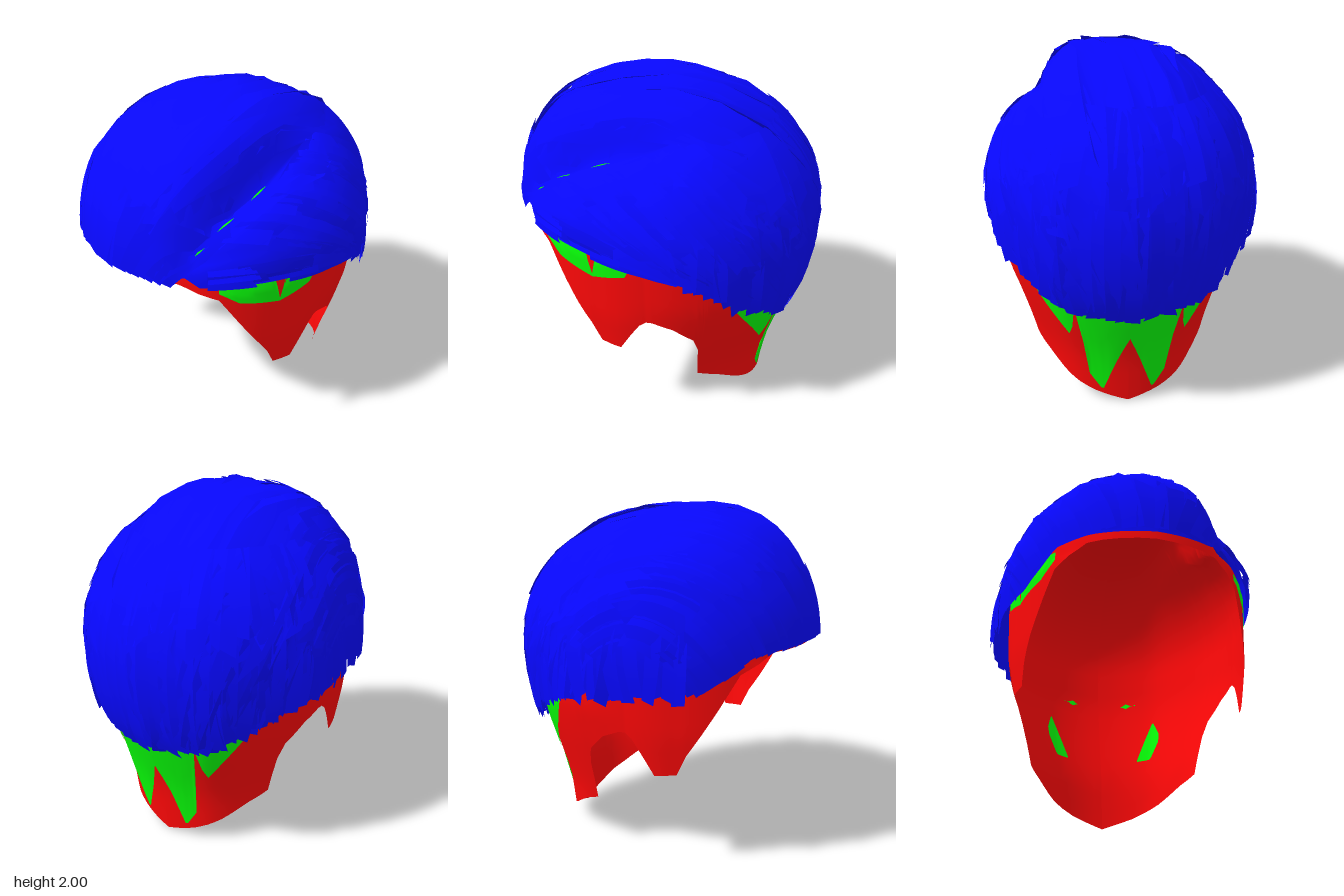
import * as THREE from 'three';
import { mergeGeometries } from 'three/addons/utils/BufferGeometryUtils.js';

const RAD = Math.PI / 180;
const { lerp, clamp, smoothstep } = THREE.MathUtils;

// Piecewise linear lookup in rows [key, value, ...], keys ascending
function lookup(rows, k, col = 1) {
  if (k <= rows[0][0]) return rows[0][col];
  for (let i = 1; i < rows.length; i++) {
    if (k <= rows[i][0]) {
      const f = (k - rows[i - 1][0]) / (rows[i][0] - rows[i - 1][0]);
      return lerp(rows[i - 1][col], rows[i][col], f);
    }
  }
  return rows[rows.length - 1][col];
}

let seed = 7;
const rand = () => (seed = (seed * 16807) % 2147483647) / 2147483647;

// Plan radius by angle from the front (degrees, symmetric)
const PLAN = [[0, 0.885], [22, 0.865], [44, 0.815], [68, 0.775], [90, 0.765], [104, 0.785], [135, 0.82], [152, 0.865], [180, 0.865]];
// Lower edges by angle, positive angles towards +x
const HAIR_EDGE = [[-180, 0.72], [-155, 0.75], [-140, 0.87], [-120, 1.0], [-100, 1.06], [-56, 1.08], [-46, 1.16], [-38, 1.25], [-25, 1.27],
  [22, 1.28], [26, 1.35], [30, 1.35], [35, 1.26], [85, 1.25], [104, 1.17], [115, 1.12], [127, 0.98], [135, 0.92], [145, 0.86], [155, 0.75], [180, 0.72]];
const CAP_EDGE = [[0, 1.25], [27, 1.25], [42, 1.15], [51, 0.95], [63, 0.7], [67, 0.58], [77, 0.57], [83, 0.7], [87, 0.78], [90, 0.81],
  [93, 0.81], [102, 0.76], [112, 0.65], [115, 0.55], [117, 0.3], [129, 0.25], [145, 0.15], [161, 0.07], [180, 0]];
// Inward taper of the cap towards the neck
const NAPE = [[0, 0.73], [0.3, 0.77], [0.4, 0.8], [0.7, 0.91], [0.9, 0.97], [1.2, 1]];
const TEMPLE = [[0.58, 0.95], [0.8, 0.99], [1.2, 1.01]];
// Parting: z, x, depth
const PART = [[-0.5, 0.36, 0], [-0.1, 0.43, 0.08], [0.1, 0.46, 0.17], [0.4, 0.44, 0.23], [0.6, 0.41, 0.19], [0.8, 0.36, 0.1]];

// Sinks the parting and raises the crest of hair beside it
function styleParting(p) {
  const d = p.x - lookup(PART, p.z);
  const fall = Math.exp(-Math.abs(d) / (d < 0 ? 0.045 : 0.16));
  const crest = 0.03 * smoothstep(p.x, 0, 0.25) * (1 - smoothstep(p.x, 0.38, 0.6)) * smoothstep(p.y, 1.5, 1.9);
  p.y += crest - lookup(PART, p.z, 2) * fall * clamp((p.y - 1.25) / 0.25, 0, 1);
  return p;
}

// Hair surface at angle th (degrees) and elevation a (radians)
function hairPoint(th, a) {
  const r0 = lookup(PLAN, Math.abs(th));
  const front = Math.max(0, Math.cos(th * RAD));
  const r = r0 * Math.pow(Math.max(0, Math.cos(a)), a < 0 ? 0.5 : 1 - 0.32 * front);
  return styleParting(new THREE.Vector3(r * Math.sin(th * RAD), 1.2 + 0.775 * Math.sin(a), r * Math.cos(th * RAD)));
}
const hairEdge = th => Math.asin((lookup(HAIR_EDGE, th) - 1.2) / 0.775);

// Cap surface at angle th (degrees) and height y
function capPoint(th, y, scale = 1) {
  const t = Math.abs(th);
  let r = lookup(PLAN, t) * 0.96 * scale;
  if (y > 1.2) {
    const k = (y - 1.2) / 0.73;
    r *= Math.pow(Math.max(0, 1 - k * k), 0.5 - 0.12 * Math.max(0, Math.cos(t * RAD)));
  } else {
    r *= lerp(lookup(TEMPLE, y), lookup(NAPE, y), smoothstep(t, 72, 114));
  }
  const x = r * Math.sin(th * RAD) * (th < 0 ? 0.95 : 0.99);
  return styleParting(new THREE.Vector3(x, y, r * Math.cos(th * RAD)));
}

// Grid of points f(i, j) as a smooth sheet
function sheet(nu, nv, f) {
  const pos = [], index = [];
  for (let i = 0; i <= nu; i++) {
    for (let j = 0; j <= nv; j++) {
      pos.push(...f(i, j).toArray());
      if (i < nu && j < nv) {
        const a = i * (nv + 1) + j, b = a + nv + 1;
        index.push(a, b, a + 1, b, b + 1, a + 1);
      }
    }
  }
  const g = new THREE.BufferGeometry();
  g.setAttribute('position', new THREE.Float32BufferAttribute(pos, 3));
  g.setIndex(index);
  g.computeVertexNormals();
  return g;
}

const dirOf = (th, a) => new THREE.Vector3(Math.sin(th * RAD) * Math.cos(a), Math.sin(a), Math.cos(th * RAD) * Math.cos(a));
const onHair = d => hairPoint(Math.atan2(d.x, d.z) / RAD, Math.asin(clamp(d.y, -1, 1)));

// A lock: a tilted ribbon on the hair along part t0..t1 of a curve of directions
function lock([from, mid, to], width, t0, t1, lift) {
  const n = 6, slant = (rand() - 0.5) * 0.08, tilt = (rand() - 0.5) * 0.02, base = 0.004 + 0.01 * rand();
  const at = t => new THREE.Vector3().addScaledVector(from, (1 - t) ** 2).addScaledVector(mid, 2 * t * (1 - t)).addScaledVector(to, t * t).normalize();
  return sheet(n, 2, (i, j) => {
    const f = i / n, t = lerp(t0, t1, f) + slant * f * (j - 1);
    const d = at(t), across = at(t + 0.02).sub(at(t - 0.02)).cross(d).normalize();
    d.addScaledVector(across, (j - 1) * width * (1 - 0.25 * f)).normalize();
    return onHair(d).addScaledVector(d, base + lift * f + tilt * (j - 1));
  });
}

// Direction on the hair beside the parting at depth z
function partDir(z, shift) {
  const x = lookup(PART, z) + shift, th = Math.atan2(x, z) / RAD;
  return dirOf(th, Math.acos(Math.min(0.99, Math.hypot(x, z) / lookup(PLAN, Math.abs(th)))));
}

function makeLocks() {
  const out = [];
  const wrap = th => (th > 180 ? th - 360 : th);
  // A run of overlapping locks along one curve
  const addRun = (curve, width, pieces) => {
    const shift = 0.5 * rand() / pieces;
    for (let k = 0; k < pieces; k++) {
      const t0 = k ? k / pieces - shift : 0;
      const t1 = k < pieces - 1 ? (k + 1.25) / pieces - shift : 0.985 + 0.03 * rand();
      out.push(lock(curve, width * (0.8 + 0.4 * rand()), t0, t1, 0.012));
    }
  };
  // Main mass sweeping back from the hairline, alongside the parting
  for (let i = 0; i < 30; i++) {
    const f = i / 29, start = 21 - 80 * f, end = wrap(168 + 82 * f), x = 0.34 - 1.0 * f;
    const mid = dirOf(90 * Math.sign(x), Math.acos(Math.abs(x) / 0.775));
    addRun([dirOf(start, hairEdge(start) + 0.01), mid, dirOf(end, hairEdge(end) + 0.02)], 0.07, 4);
  }
  // Side mass sweeping back and down from the parting
  for (let i = 0; i < 22; i++) {
    const f = i / 21, end = 100 + 68 * f;
    const from = f < 0.15 ? dirOf(38, hairEdge(38) + 0.06 + 0.6 * f) : partDir(0.68 - 0.85 * f, 0.04);
    addRun([from, dirOf(62 + 50 * f, 0.12 + 0.75 * f), dirOf(end, hairEdge(end) + 0.02)], 0.06, 3);
  }
  // Crown falling down the back and right side
  for (let i = 0; i < 30; i++) {
    const th = 135 + 130 * i / 29, end = wrap(th);
    addRun([dirOf(th, 0.85), dirOf(th, 0.4), dirOf(end, hairEdge(end))], 0.08, 2);
  }
  // Ragged tips along the hem
  for (let i = 0; i < 50; i++) {
    const th = wrap(108 + 186 * i / 49), a = hairEdge(th), sway = th + 10 * (rand() - 0.5);
    const curve = [dirOf(sway, a + 0.4), dirOf(sway, a + 0.2), dirOf(th, a - 0.01 - 0.06 * rand())];
    out.push(lock(curve, 0.055, 0, 1, 0.01 + 0.025 * rand()));
  }
  return mergeGeometries(out);
}

// Coloured area of the cap from columns [angle, top, bottom]
function patch(cols, side, scale) {
  const n = 16, a = cols[0][0], b = cols[cols.length - 1][0];
  return sheet(n, 5, (i, j) => {
    const th = a + (b - a) * i / n, top = lookup(cols, th, 1), low = lookup(cols, th, 2);
    return capPoint(th * side, low + (top - low) * j / 5, scale);
  });
}

export function createModel() {
  const group = new THREE.Group();
  const add = (name, geometry, color) => {
    const mesh = new THREE.Mesh(geometry, new THREE.MeshStandardMaterial({ color, side: THREE.DoubleSide }));
    mesh.name = name;
    group.add(mesh);
  };
  const BLUE = 0x0808ff, RED = 0xff0808, GREEN = 0x08ff08;

  // Cap columns: every edge corner, each span split in four
  const half = [];
  for (let i = 0; i < CAP_EDGE.length - 1; i++) {
    for (let k = 0; k < 4; k++) half.push(lerp(CAP_EDGE[i][0], CAP_EDGE[i + 1][0], k / 4));
  }
  const angles = [-180, ...half.slice(1).reverse().map(t => -t), ...half, 180];
  add('scalpCap', sheet(angles.length - 1, 30, (i, j) => {
    const low = lookup(CAP_EDGE, Math.abs(angles[i]));
    return capPoint(angles[i], low + (1.93 - low) * Math.sin(j / 30 * Math.PI / 2));
  }), RED);

  // Hair body and its overlapping locks
  add('hairBody', sheet(144, 32, (i, j) => {
    const th = -180 + 2.5 * i, a = lerp(hairEdge(th), Math.PI / 2, j / 32);
    return hairPoint(th, a).addScaledVector(dirOf(th, a), -0.006);
  }), BLUE);
  add('hairLocks', makeLocks(), BLUE);

  // Shaved patches at the temples, behind the ears and on the nape
  const outer = [
    [[42, 1.26, 1.2], [50, 1.26, 1.12], [64, 1.26, 1.08], [67, 1.09, 1.07]],
    [[67, 1.09, 1.07], [70, 1.26, 1.08], [82, 1.26, 1.12], [87, 1.26, 1.25]],
    [[115, 1.13, 1.12], [135, 1.1, 0.76], [152, 1, 0.48], [156, 1, 0.72]],
    [[156, 1, 0.72], [159, 1, 0.2], [166, 1, 0.08], [180, 1, 0.5]],
  ];
  const inner = [[147, 0.66, 0.6], [151, 0.76, 0.48], [152, 0.73, 0.47], [159, 0.47, 0.46]];
  const patches = [];
  for (const side of [1, -1]) {
    for (const cols of outer) patches.push(patch(cols, side, 1.007));
    patches.push(patch(inner, side, 0.985));
  }
  // Slivers showing along the parting
  for (const z of [0.63, 0.5, 0.3, 0.05]) {
    patches.push(sheet(4, 2, (i, j) => {
      const d = partDir(z - 0.025 * i, 0.006 * (j - 1) * Math.sin(i / 4 * Math.PI));
      return onHair(d).addScaledVector(d, 0.022);
    }));
  }
  add('shavedPatches', mergeGeometries(patches), GREEN);
  return group;
}
